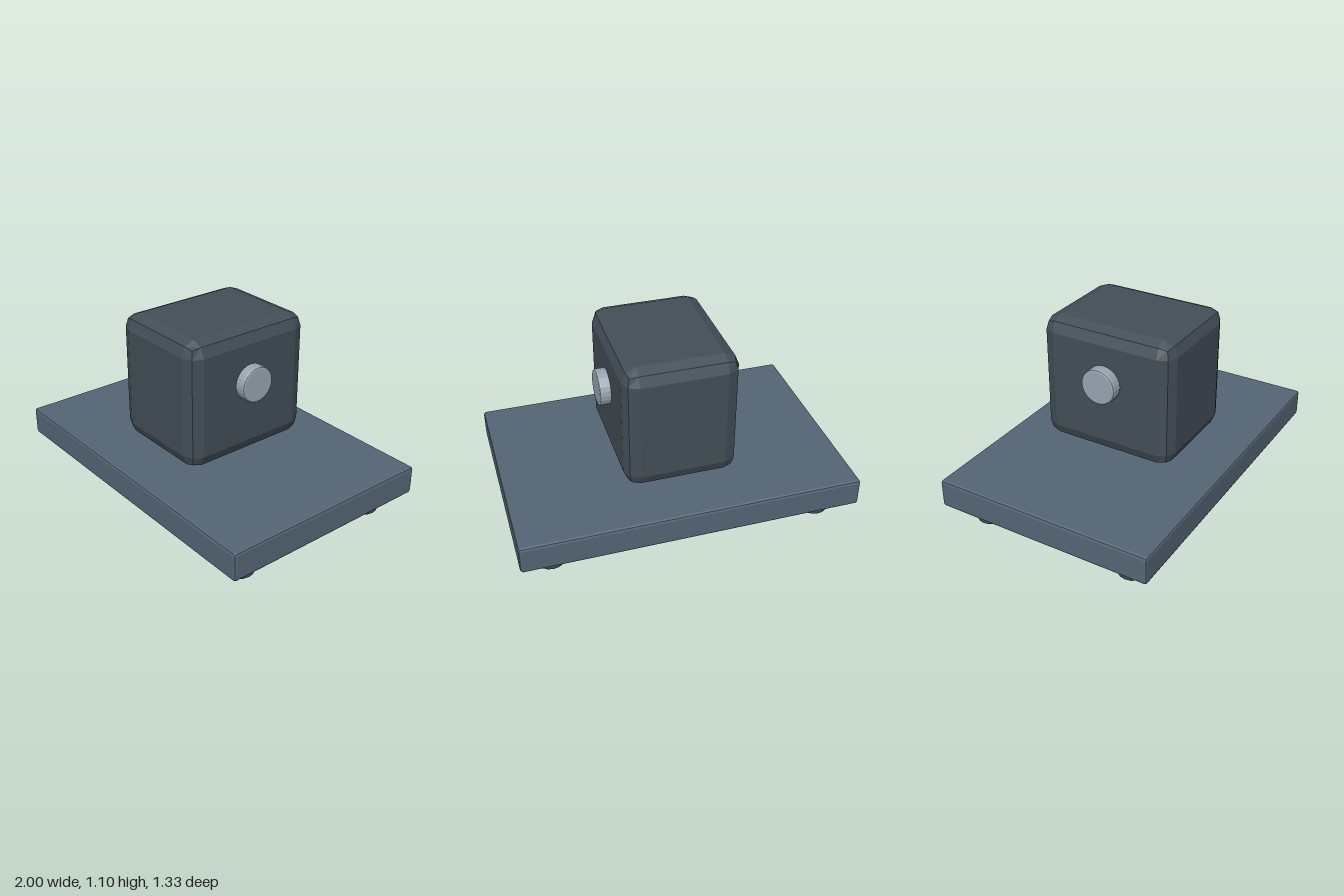
import * as THREE from 'three';
import { RoundedBoxGeometry } from 'three/addons/geometries/RoundedBoxGeometry.js';

const material = (color) => new THREE.MeshStandardMaterial({ color, flatShading: true });

// Cylinder along y, centred, with small two-step bevelled rims
function bevelledCylinder(radius, height, bevel, sides) {
  const h = height / 2, k = bevel * (1 - Math.SQRT1_2);
  const profile = [
    [0, -h], [radius - bevel, -h], [radius - k, -h + k], [radius, -h + bevel],
    [radius, h - bevel], [radius - k, h - k], [radius - bevel, h], [0, h],
  ].map(([x, y]) => new THREE.Vector2(x, y));
  return new THREE.LatheGeometry(profile, sides);
}

export function createModel() {
  const model = new THREE.Group();
  const plateMaterial = material(0x556575);
  const darkMaterial = material(0x434e57);
  const metalMaterial = material(0x97a5b1);

  const add = (name, geometry, mat, x, y, z) => {
    const mesh = new THREE.Mesh(geometry, mat);
    mesh.name = name;
    mesh.position.set(x, y, z);
    model.add(mesh);
    return mesh;
  };

  // Base plate with narrow bevels
  add('basePlate', new RoundedBoxGeometry(2, 0.17, 1.333, 1, 0.016), plateMaterial, 0, 0.213, 0);

  // Block hovering just above the plate, with wide two-step bevels
  add('body', new RoundedBoxGeometry(0.667, 0.767, 0.833, 1, 0.085), darkMaterial, 0, 0.722, 0);

  // Axle showing as a round boss on each side of the block
  const axle = add('axle', bevelledCylinder(0.107, 0.795, 0.012, 24), metalMaterial, 0, 0.793, 0);
  axle.rotation.z = Math.PI / 2;

  // Four feet under the plate corners
  const foot = bevelledCylinder(0.089, 0.16, 0.015, 16);
  for (const x of [-1, 1]) {
    for (const z of [-1, 1]) {
      add(`${z > 0 ? 'front' : 'back'}${x > 0 ? 'Left' : 'Right'}Foot`, foot, darkMaterial, x * 0.807, 0.083, z * 0.474);
    }
  }

  // Rest the feet on the ground
  for (const part of model.children) part.position.y -= 0.003;
  return model;
}
